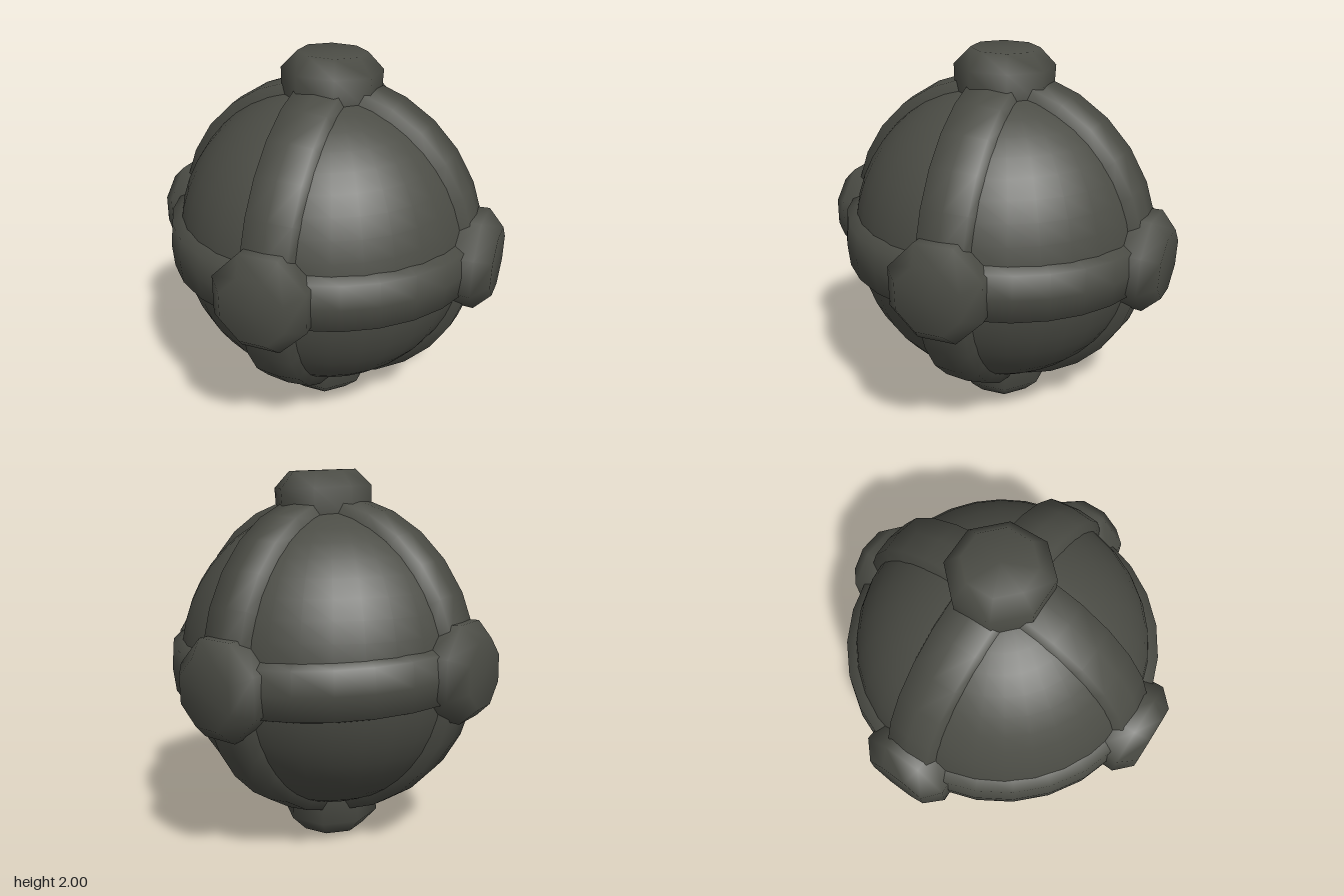
import * as THREE from 'three';

const BODY_R = 0.8, BAND_R = 0.85, BAND_HALF = 0.12;

// Curved strap with soft sloping sides, lying on the ball between two boss directions
function strapGeometry(a, b, steps = 7) {
  const n = new THREE.Vector3().crossVectors(a, b).normalize();
  const angle = a.angleTo(b);
  // cross-section: [offset across the strap, radius]
  const section = [
    [-0.15, 0.775], [-BAND_HALF, BAND_R], [0, BAND_R + 0.003], [BAND_HALF, BAND_R], [0.15, 0.775],
  ];
  const positions = [], index = [], m = section.length;
  for (let i = 0; i <= steps; i++) {
    const dir = a.clone().applyAxisAngle(n, (angle * i) / steps);
    for (const [w, r] of section) {
      const p = dir.clone().multiplyScalar(Math.sqrt(r * r - w * w)).addScaledVector(n, w);
      positions.push(p.x, p.y, p.z);
    }
  }
  for (let i = 0; i < steps; i++) {
    for (let j = 0; j < m - 1; j++) {
      const p = i * m + j, q = p + m;
      index.push(p, q, p + 1, q, q + 1, p + 1);
    }
  }
  const g = new THREE.BufferGeometry();
  g.setAttribute('position', new THREE.Float32BufferAttribute(positions, 3));
  g.setIndex(index);
  g.computeVertexNormals();
  return g;
}

// Eight-sided chamfered boss along +y, flats facing the axes
function bossGeometry(height) {
  const profile = [[0.255, 0.72], [0.262, height - 0.085], [0.178, height], [0, height]]
    .map(([r, y]) => new THREE.Vector2(r, y));
  return new THREE.LatheGeometry(profile, 8, Math.PI / 8);
}

export function createModel() {
  const group = new THREE.Group();
  const darkOlive = new THREE.MeshStandardMaterial({ color: 0x4b4c45 });
  darkOlive.name = 'darkOlive';

  // The ball is slightly taller than wide
  const ball = new THREE.Group();
  ball.name = 'ball';
  ball.position.y = 1;
  ball.scale.y = 1.02;
  group.add(ball);

  const add = (name, geometry) => {
    const mesh = new THREE.Mesh(geometry, darkOlive);
    mesh.name = name;
    ball.add(mesh);
    return mesh;
  };

  // Recessed ball between the straps
  add('body', new THREE.SphereGeometry(BODY_R, 32, 24));

  // Boss directions, each a little off its axis, and heights
  const bosses = {
    left: [[0.9, -0.01, 0.01], 0.948],
    right: [[-0.9, 0.015, -0.05], 0.94],
    top: [[0.02, 0.9, -0.025], 0.975],
    bottom: [[-0.02, -0.9, 0], 0.975],
    front: [[-0.01, 0.015, 0.9], 0.948],
    back: [[0.09, -0.035, -0.9], 0.945],
  };
  const dirs = {};
  for (const [name, [p, height]] of Object.entries(bosses)) {
    const d = dirs[name] = new THREE.Vector3(...p).normalize();
    const side = Math.abs(d.x) > 0.5 ? new THREE.Vector3(0, 0, 1) : new THREE.Vector3(1, 0, 0);
    side.addScaledVector(d, -side.dot(d)).normalize();
    const basis = new THREE.Matrix4().makeBasis(side, d, new THREE.Vector3().crossVectors(side, d));
    add(name + 'Boss', bossGeometry(height)).quaternion.setFromRotationMatrix(basis);
  }

  // Three rings of straps joining the bosses
  const rings = [
    ['left', 'top', 'right', 'bottom'],
    ['front', 'top', 'back', 'bottom'],
    ['front', 'left', 'back', 'right'],
  ];
  for (const ring of rings) {
    ring.forEach((from, i) => {
      const to = ring[(i + 1) % 4];
      add(`${from}To${to[0].toUpperCase()}${to.slice(1)}Strap`, strapGeometry(dirs[from], dirs[to]));
    });
  }
  return group;
}
